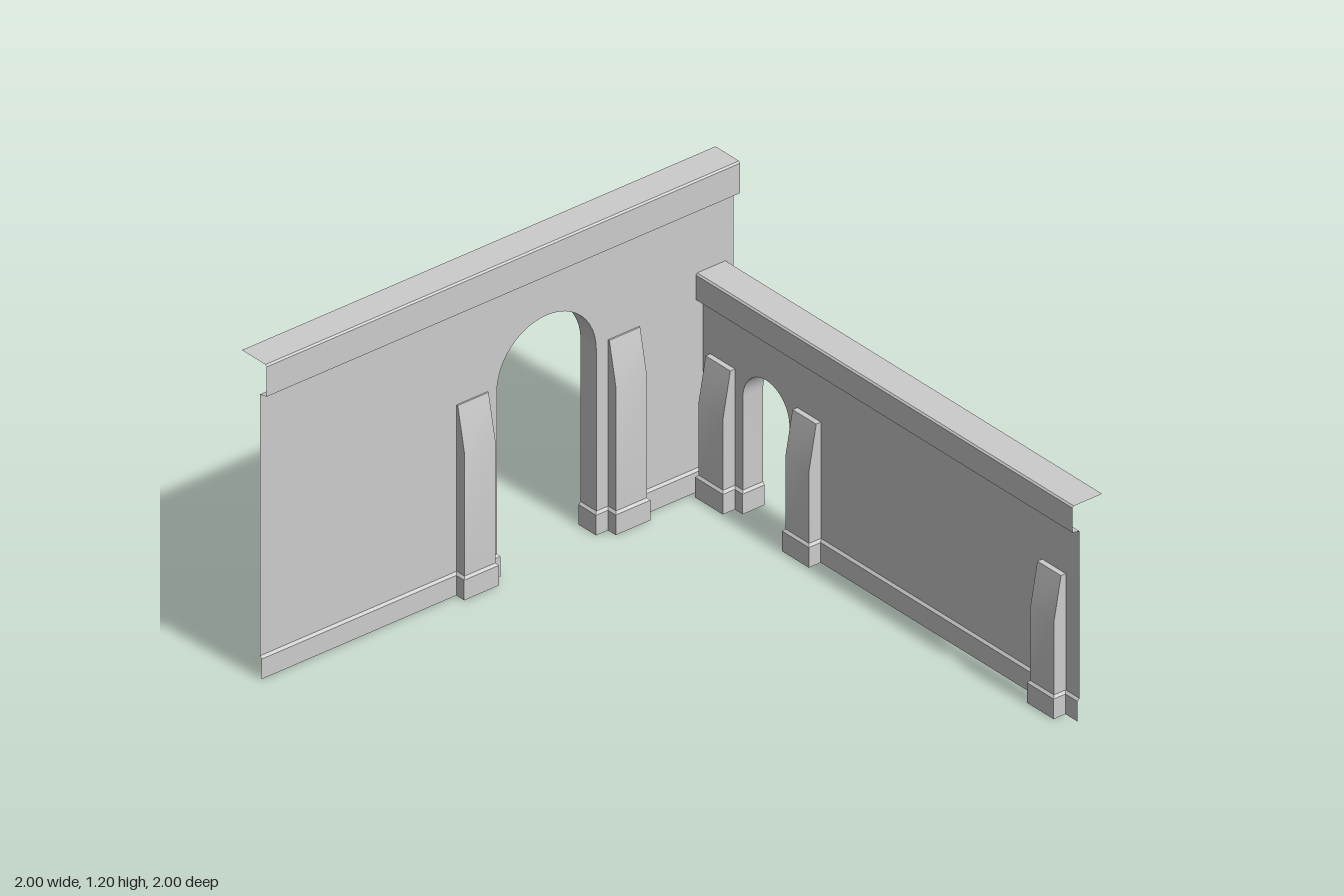
import * as THREE from 'three';
import { toCreasedNormals } from 'three/addons/utils/BufferGeometryUtils.js';

const material = new THREE.MeshStandardMaterial({ color: 0xcccccc, side: THREE.DoubleSide });
const PLINTH = 0.085;

function addMesh(group, name, geometry) {
  const mesh = new THREE.Mesh(geometry, material);
  mesh.name = name;
  group.add(mesh);
}

// Open surface through rows of [x, y, z] points
function loft(rows) {
  const n = rows[0].length;
  const index = [];
  for (let r = 0; r < rows.length - 1; r++) {
    for (let i = 0; i < n - 1; i++) {
      const a = r * n + i, c = a + n;
      index.push(a, a + 1, c + 1, a, c + 1, c);
    }
  }
  const geometry = new THREE.BufferGeometry();
  geometry.setAttribute('position', new THREE.Float32BufferAttribute(rows.flat(2), 3));
  geometry.setIndex(index);
  return toCreasedNormals(geometry, 0.5);
}

// Offset a right-angled plan path [x, z] outwards
function offsetPath(path, amount) {
  const normals = path.slice(1).map(([x, z], i) => [-Math.sign(z - path[i][1]), Math.sign(x - path[i][0])]);
  return path.map(([x, z], i) => {
    const before = normals[i - 1] ?? [0, 0], after = normals[i] ?? [0, 0];
    return [x + amount * (before[0] + after[0]), z + amount * (before[1] + after[1])];
  });
}

// Wall shell running along x with its face at z = 0 and an open back
function createWall(name, w) {
  const group = new THREE.Group();
  group.name = name;
  const [a0, a1] = w.arch;
  const radius = (a1 - a0) / 2, middle = (a0 + a1) / 2;
  const spring = w.archTop - radius;

  // Arch outline from the left jamb over to the right jamb
  const arch = [[a0, PLINTH]];
  const steps = 24;
  for (let i = 0; i <= steps; i++) {
    const t = Math.PI * (1 - i / steps);
    arch.push([middle + radius * Math.cos(t), spring + radius * Math.sin(t)]);
  }
  arch.push([a1, PLINTH]);

  // Wall face, notched for the arch and the hollow pilasters
  const notches = w.pilasters.map(([p0, p1]) =>
    [[p0, PLINTH], [p0, w.pilasterTop], [p1, w.pilasterTop], [p1, PLINTH]]);
  notches.push(arch);
  notches.sort((p, q) => p[0][0] - q[0][0]);
  const outline = [[w.start, PLINTH], ...notches.flat(), [w.end, PLINTH],
    [w.end, w.corniceBottom], [w.start, w.corniceBottom]];
  addMesh(group, 'wallFace', new THREE.ShapeGeometry(
    new THREE.Shape(outline.map(([x, y]) => new THREE.Vector2(x, y)))));

  // Arch lining
  addMesh(group, 'archLining', loft([-w.archDepth, 0].map(z => arch.map(([x, y]) => [x, y, z]))));

  // Pilasters: upright shaft leaning back to the wall at the top
  for (const [p0, p1] of w.pilasters) {
    const levels = [[PLINTH, w.pilasterDepth], [w.pilasterKink, w.pilasterDepth],
      [w.pilasterTop, w.pilasterTopDepth], [w.pilasterTop, 0]];
    addMesh(group, 'pilaster', loft(levels.map(([y, d]) =>
      [[p0, y, 0], [p0, y, d], [p1, y, d], [p1, y, 0]])));
  }

  // Plinth following wall, pilasters and arch jambs on each side of the arch
  const around = list => list.flatMap(([p0, p1]) =>
    [[p0, 0], [p0, w.pilasterDepth], [p1, w.pilasterDepth], [p1, 0]]);
  const leftPath = [[w.start, 0], ...around(w.pilasters.filter(p => p[1] < middle)),
    [a0, 0], [a0, -w.archDepth]];
  const rightPath = [[a1, -w.archDepth], [a1, 0],
    ...around(w.pilasters.filter(p => p[0] > middle)), [w.end, 0]];
  for (const path of [leftPath, rightPath]) {
    const rows = [[0, 0.008], [0.076, 0.008], [PLINTH, 0]].map(([y, amount]) =>
      offsetPath(path, amount).map(([x, z]) => [x, y, z]));
    addMesh(group, 'plinth', loft(rows));
  }

  // Cornice: soffit, fascia and top running back over the open wall
  const b = w.corniceBottom, t = w.top, d = w.corniceDepth;
  const profile = [[b, 0], [b + 0.006, d], [t - 0.006, d], [t, d - 0.006], [t, -w.topDepth]];
  addMesh(group, 'cornice', loft(profile.map(([y, z]) => [[w.start, y, z], [w.end, y, z]])));
  return group;
}

export function createModel() {
  const model = new THREE.Group();
  model.name = 'archedWalls';

  // Tall side wall facing +x
  const tall = createWall('tallWall', {
    start: -1, end: 1, top: 1.2, corniceBottom: 1.075, corniceDepth: 0.033, topDepth: 0.092,
    arch: [0, 0.42], archTop: 0.908, archDepth: 0.08,
    pilasters: [[-0.17, -0.04], [0.47, 0.6]],
    pilasterTop: 0.715, pilasterKink: 0.55, pilasterDepth: 0.04, pilasterTopDepth: 0.006,
  });
  tall.rotation.y = Math.PI / 2;
  tall.position.x = -0.908;

  // Low back wall facing +z
  const low = createWall('lowWall', {
    start: -0.908, end: 1, top: 0.823, corniceBottom: 0.718, corniceDepth: 0.03, topDepth: 0.095,
    arch: [-0.705, -0.47], archTop: 0.555, archDepth: 0.085,
    pilasters: [[-0.87, -0.745], [-0.43, -0.31], [0.81, 0.93]],
    pilasterTop: 0.525, pilasterKink: 0.36, pilasterDepth: 0.05, pilasterTopDepth: 0.02,
  });
  low.position.z = -0.87;

  model.add(tall, low);
  return model;
}
